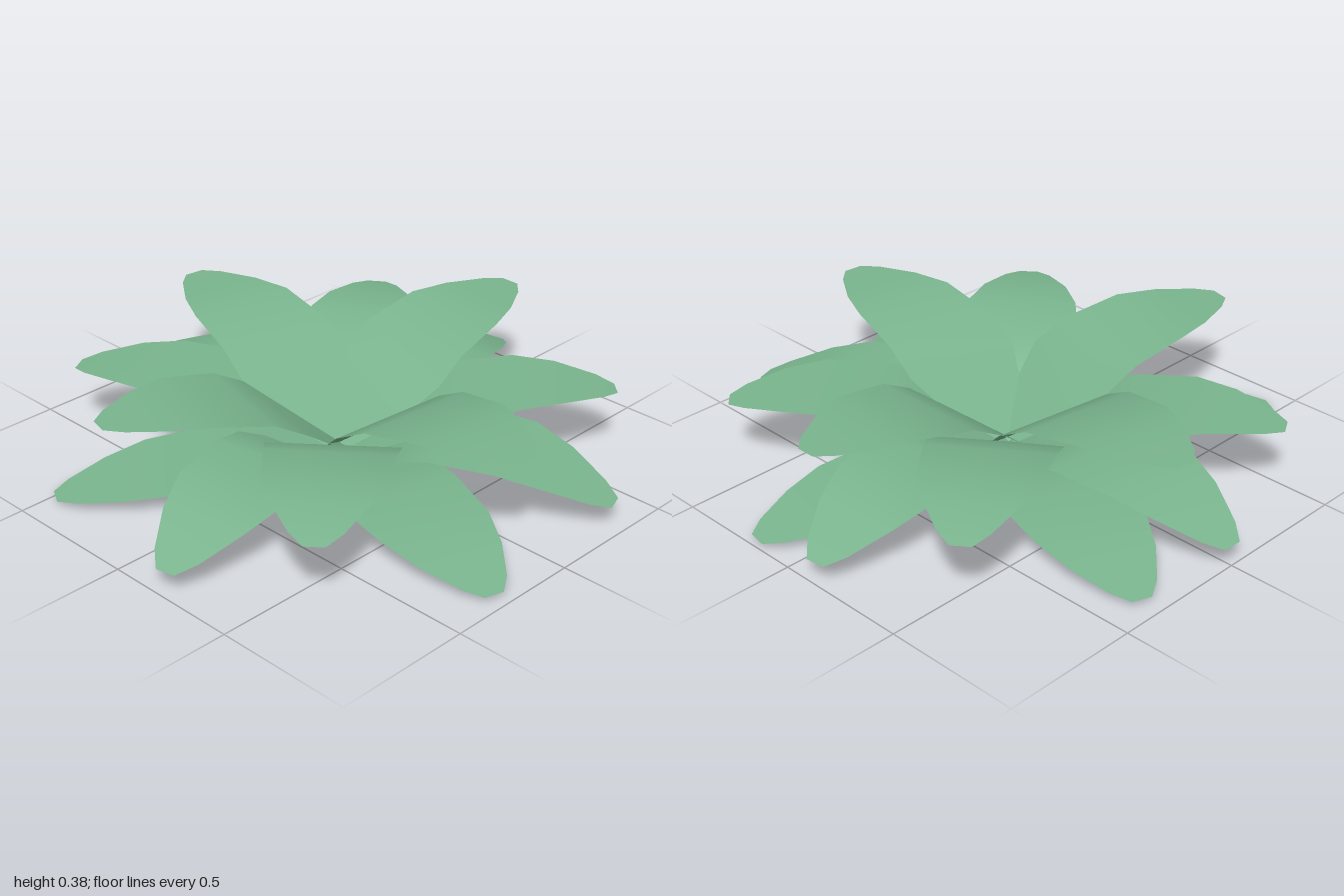
import * as THREE from 'three';

// Leaf stations along its length, and half width at each one
const STATIONS = [0, 0.28, 0.42, 0.65, 0.8, 0.94, 1];
const HALF_WIDTHS = [0.1, 0.23, 0.22, 0.2, 0.155, 0.085, 0.035];

// Tiers from top to bottom: leaf length, height at each station, directions (degrees from +x towards +z)
const TIERS = [
  { name: 'topLeaf', length: 0.9, heights: [0.06, 0.265, 0.335, 0.38, 0.385, 0.385, 0.384], angles: [5, 104, 188, 270] },
  { name: 'upperLeaf', length: 0.96, heights: [0.04, 0.2, 0.25, 0.28, 0.275, 0.255, 0.242], angles: [-48, 50, 150, 234] },
  { name: 'lowerLeaf', length: 1, heights: [0.02, 0.165, 0.198, 0.195, 0.155, 0.1, 0.075], angles: [-19, 78, 180, 262.5] },
  { name: 'bottomLeaf', length: 1, heights: [0, 0.065, 0.077, 0.07, 0.05, 0.028, 0.018], angles: [17, 118, 201, 280] },
];

// Arched strip running along +x, made from straight cross-sections
function leafGeometry({ length, heights }) {
  const positions = [];
  const index = [];
  STATIONS.forEach((u, i) => {
    const w = HALF_WIDTHS[i];
    positions.push(u * length, heights[i], -w, u * length, heights[i], w);
    if (i > 0) {
      const a = 2 * (i - 1);
      index.push(a, a + 1, a + 2, a + 1, a + 3, a + 2);
    }
  });
  const geometry = new THREE.BufferGeometry();
  geometry.setAttribute('position', new THREE.Float32BufferAttribute(positions, 3));
  geometry.setIndex(index);
  geometry.computeVertexNormals();
  return geometry;
}

export function createModel() {
  const plant = new THREE.Group();
  plant.name = 'leafRosette';
  const material = new THREE.MeshStandardMaterial({ color: 0x7ab58e, side: THREE.DoubleSide });

  for (const tier of TIERS) {
    const geometry = leafGeometry(tier);
    const ring = new THREE.Group();
    ring.name = tier.name + 'Ring';
    tier.angles.forEach((angle) => {
      const leaf = new THREE.Mesh(geometry, material);
      leaf.name = tier.name;
      leaf.rotation.y = -THREE.MathUtils.degToRad(angle);
      ring.add(leaf);
    });
    plant.add(ring);
  }
  return plant;
}
